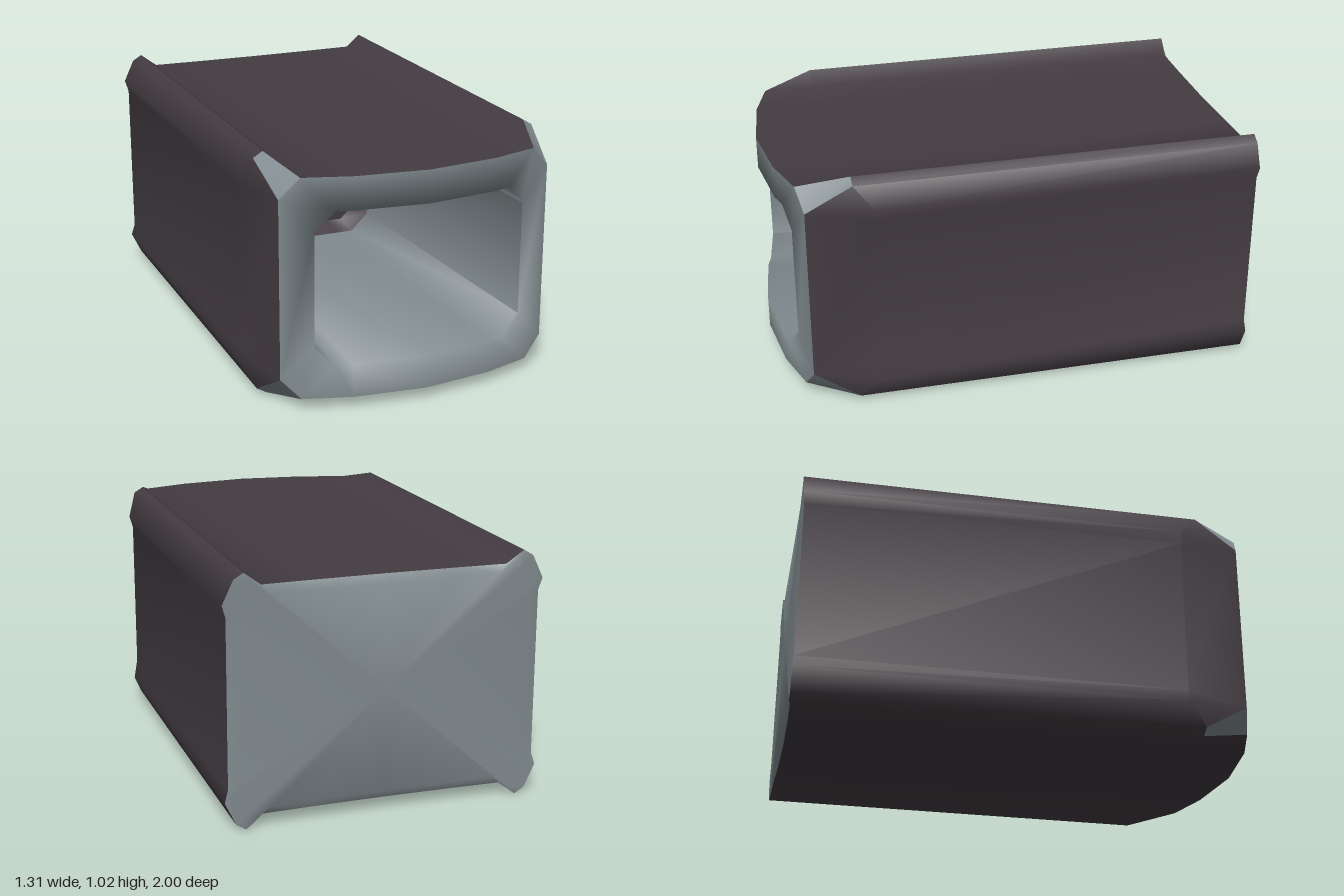
import * as THREE from 'three';
import { toCreasedNormals } from 'three/addons/utils/BufferGeometryUtils.js';

const MID_Y = 0.517;

// Mirrors one quadrant (side to top centre, [x, height from middle, z]) into a closed loop
function ring(q) {
  const back = q.slice(0, -1).reverse();
  const flip = (pts, sx, sy) => pts.map(([x, y, z]) => [x * sx, y * sy, z]);
  return [...q, ...flip(back, -1, 1), ...flip(q, -1, -1), ...flip(back, 1, -1)];
}

// Triangles between two loops; keep() chooses which segments to use
function strip(a, b, keep = () => true) {
  const out = [];
  a.forEach((p, i) => {
    if (!keep(i)) return;
    const j = (i + 1) % a.length;
    out.push(p, a[j], b[i], a[j], b[j], b[i]);
  });
  return out;
}

const centre = (loop, z) => loop.map(() => [0, 0, z]);

function part(name, tris, material, crease) {
  const g = new THREE.BufferGeometry();
  const pos = tris.flatMap(([x, y, z]) => [x, y + MID_Y, z]);
  g.setAttribute('position', new THREE.Float32BufferAttribute(pos, 3));
  const mesh = new THREE.Mesh(toCreasedNormals(g, crease), material);
  mesh.name = name;
  return mesh;
}

export function createModel() {
  const dark = new THREE.MeshStandardMaterial({ color: 0x433c42 });
  dark.name = 'dark shell';
  const grey = new THREE.MeshStandardMaterial({ color: 0x808a8e });
  grey.name = 'grey trim';

  // Shell cross-section with raised corner ridges
  const section = [[0.64, 0.343], [0.655, 0.393], [0.61, 0.488], [0.57, 0.512],
    [0.5, 0.459], [0.3, 0.459], [0, 0.459]];
  const at = (zs) => ring(section.map(([x, y], i) => [x, y, zs[i]]));
  const rear = at([-0.995, -1, -1, -1, -0.99, -0.984, -0.98]);
  const shoulder = at([0.61, 0.61, 0.69, 0.69, 0.69, 0.69, 0.69]);
  const side = [0.58, 0.373, 0.88], corner = [0.5, 0.459, 0.905];
  const front = ring([side, side, side, corner, corner, [0.3, 0.459, 0.965], [0, 0.459, 1]]);

  // Segments that form the four grey corner chamfers
  const n = rear.length;
  const isChamfer = (i) => [2, n / 2 - 4, n / 2 + 2, n - 4].includes(i);

  // Bow-fronted bezel, flared tunnel and the dark panel at its end
  const bezelOuter = ring([side, corner, [0.3, 0.459, 0.965], [0, 0.459, 1]]);
  const opening = ring([[0.45, 0.24, 0.92], [0.37, 0.322, 0.944], [0.3, 0.322, 0.965], [0, 0.322, 1]]);
  const inset = (x, y, cut, z) => ring([[x, y - cut, z], [x - cut, y, z], [x * 0.6, y, z], [0, y, z]]);
  const tunnelEnd = inset(0.38, 0.322, 0.08, -0.45);
  const panel = inset(0.325, 0.28, 0.055, -0.52);

  // Slightly pillowed rear cover
  const cover = rear.map(([x, y]) => [x * 0.94, y * 0.93, -1]);

  const group = new THREE.Group();
  group.name = 'housing';
  group.add(
    part('shell', [...strip(rear, shoulder),
      ...strip(shoulder, front, (i) => !isChamfer(i))], dark, 0.78),
    part('cornerChamfers', strip(shoulder, front, isChamfer), grey, 0.78),
    part('bezelAndTunnel', [...strip(bezelOuter, opening), ...strip(opening, tunnelEnd)], grey, 1.75),
    part('innerPanel', [...strip(tunnelEnd, panel), ...strip(panel, centre(panel, -0.52))], dark, 0.9),
    part('rearCover', [...strip(cover, rear).map((p) => p),
      ...strip(centre(cover, -1), cover)], grey, 1.2),
  );
  return group;
}
